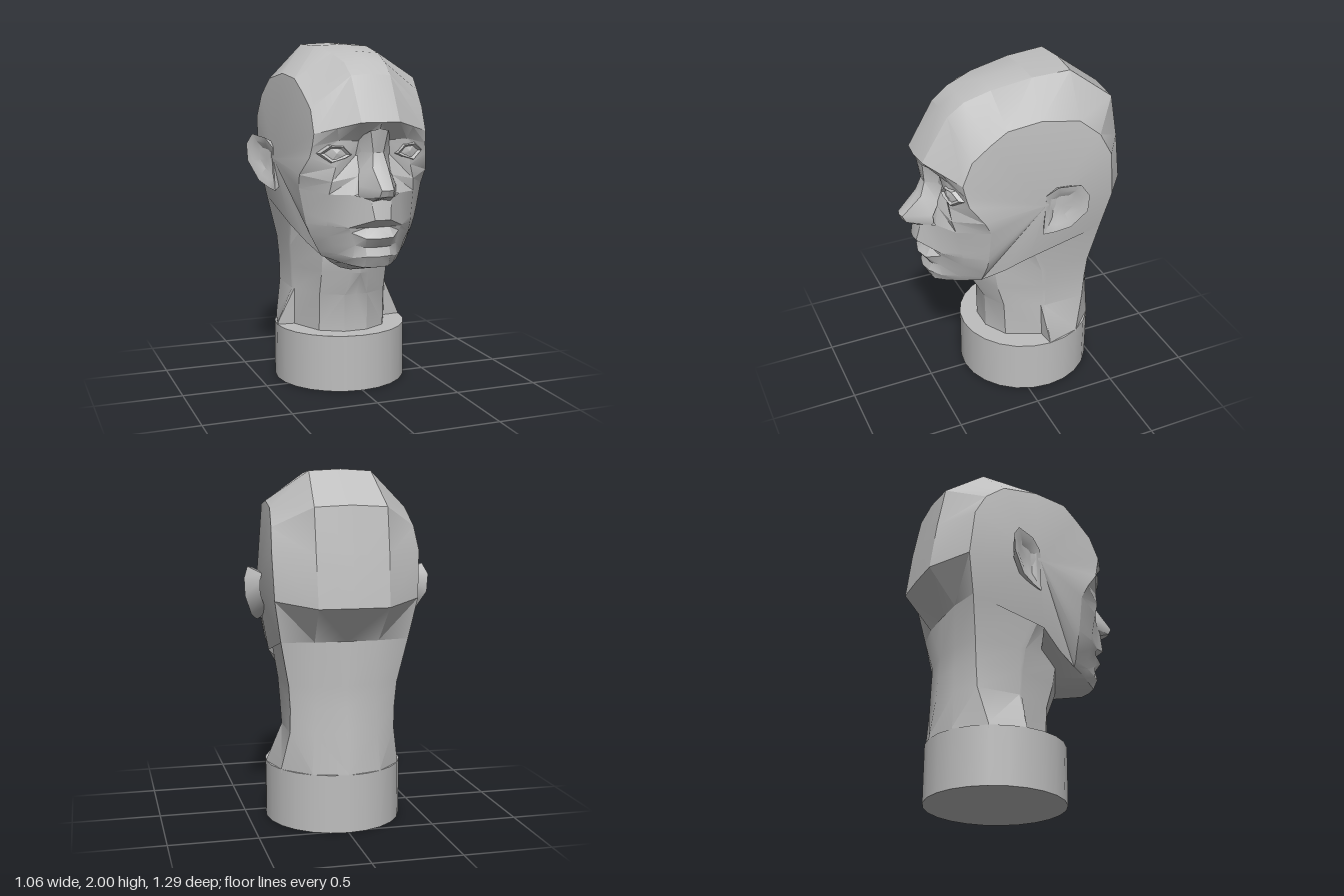
import * as THREE from 'three';
import { toCreasedNormals } from 'three/addons/utils/BufferGeometryUtils.js';

const clay = new THREE.MeshStandardMaterial({ color: 0xbebebe, side: THREE.DoubleSide });
clay.name = 'clay grey';

// Skin rows of [x, y, z] points on the +x half and mirror them to -x.
function mirroredLoft(name, rows, crease = 0.5) {
  const pos = [];
  const same = (p, q) => p.every((v, k) => Math.abs(v - q[k]) < 1e-5);
  const tri = (a, b, c) => {
    if (same(a, b) || same(b, c) || same(a, c)) return;
    pos.push(...a, ...b, ...c);
    for (const p of [a, c, b]) pos.push(-p[0], p[1], p[2]);
  };
  for (let i = 0; i < rows.length - 1; i++) {
    for (let j = 0; j < rows[i].length - 1; j++) {
      const a = rows[i][j], b = rows[i + 1][j], c = rows[i + 1][j + 1], d = rows[i][j + 1];
      tri(a, b, c);
      tri(a, c, d);
    }
  }
  const geo = new THREE.BufferGeometry();
  geo.setAttribute('position', new THREE.Float32BufferAttribute(pos, 3));
  const mesh = new THREE.Mesh(toCreasedNormals(geo, crease), clay);
  mesh.name = name;
  return mesh;
}

export function createModel() {
  const head = new THREE.Group();
  head.name = 'planarHead';

  // Cranium stations from brow over the crown to the nape:
  // midline y, z | centre strip edge x, y, z | temple edge x, y, z
  const stations = [
    [1.575, .54, .11, 1.575, .53, .33, 1.51, .385],
    [1.83, .385, .115, 1.82, .38, .33, 1.64, .33],
    [1.9, .29, .12, 1.89, .285, .345, 1.73, .23],
    [1.95, .14, .14, 1.94, .14, .36, 1.8, .14],
    [1.99, -.09, .16, 1.98, -.09, .37, 1.825, -.05],
    [2, -.32, .175, 1.99, -.31, .385, 1.79, -.27],
    [1.81, -.57, .2, 1.8, -.56, .4, 1.69, -.39],
    [1.55, -.61, .2, 1.55, -.605, .41, 1.56, -.46],
    [1.27, -.645, .195, 1.27, -.64, .4, 1.3, -.485],
    [1.07, -.48, .18, 1.07, -.475, .36, 1.07, -.44],
  ].reverse();
  const cranium = stations.map((s) => [[0, s[0], s[1]], s.slice(2, 5), s.slice(5, 8)]);
  head.add(mirroredLoft('cranium', cranium));

  // Brow, eye sockets and cheekbones, midline to outer edge
  const upperFace = [
    [[0, 1.575, .54], [.11, 1.575, .53], [.22, 1.5425, .4575], [.33, 1.51, .385]],
    [[0, 1.5, .5], [.09, 1.47, .43], [.2, 1.475, .42], [.335, 1.44, .37]],
    [[0, 1.38, .45], [.1, 1.39, .41], [.22, 1.33, .425], [.345, 1.38, .355]],
    [[0, 1.27, .46], [.1, 1.28, .45], [.24, 1.25, .42], [.38, 1.28, .28]],
    [[0, 1.18, .475], [.13, 1.18, .475], [.25, 1.18, .4], [.37, 1.2, .24]],
  ];
  head.add(mirroredLoft('upperFace', upperFace));

  // Upper lip, mouth, lower lip, chin and underside of the jaw
  const lowerFace = [
    [[0, 1.165, .55], [.06, 1.16, .54], [.13, 1.18, .475], [.25, 1.18, .4], [.37, 1.2, .24]],
    [[0, 1.05, .57], [.045, 1.05, .565], [.155, 1, .46], [.25, 1.03, .37], [.345, 1.07, .24]],
    [[0, 1, .495], [.07, 1, .49], [.155, .995, .455], [.25, 1, .365], [.33, 1, .24]],
    [[0, .945, .545], [.08, .945, .525], [.14, .97, .455], [.24, .94, .36], [.31, .94, .24]],
    [[0, .89, .5], [.07, .89, .49], [.12, .9, .46], [.21, .89, .365], [.28, .88, .245]],
    [[0, .84, .52], [.07, .84, .505], [.13, .83, .45], [.19, .84, .37], [.26, .84, .25]],
    [[0, .775, .485], [.07, .775, .475], [.12, .78, .42], [.17, .79, .36], [.24, .81, .25]],
    [[0, .72, .25], [.07, .72, .25], [.12, .73, .22], [.17, .76, .2], [.29, .87, .13]],
    [[0, .72, .2], [.07, .72, .2], [.12, .75, .1], [.2, .82, .05], [.35, .96, 0]],
  ];
  head.add(mirroredLoft('lowerFace', lowerFace));

  // Flat side planes fan out from beside the ear to the face and temple edges
  const rim = [
    ...upperFace.map((r) => r[3]),
    ...lowerFace.slice(1).map((r) => r[4]),
    ...cranium.map((r) => r[2]),
  ];
  head.add(mirroredLoft('sidePlanes', [rim.map(() => [.43, 1.34, -.06]), rim]));

  // Nose: ridge centre, ridge edge, side
  head.add(mirroredLoft('nose', [
    [[0, 1.54, .525], [.05, 1.53, .51], [.09, 1.49, .44]],
    [[0, 1.41, .495], [.03, 1.41, .495], [.09, 1.41, .41]],
    [[0, 1.34, .53], [.045, 1.33, .525], [.095, 1.3, .44]],
    [[0, 1.22, .645], [.035, 1.22, .635], [.11, 1.23, .48]],
    [[0, 1.185, .63], [.04, 1.18, .615], [.11, 1.18, .48]],
    [[0, 1.16, .55], [.05, 1.15, .54], [.1, 1.165, .49]],
  ]));

  // Eyes: raised lids around a slightly recessed eyeball
  const almond = [[-.09, -.01], [-.04, .04], [.04, .045], [.1, 0], [.03, -.055], [-.05, -.03], [-.09, -.01]];
  const eyeRing = ([scale, lift]) => almond.map(([u, v]) => {
    const x = .215 + u * scale;
    return [x, 1.405 + v * scale, .423 + lift - .48 * Math.max(0, x - .21)];
  });
  head.add(mirroredLoft('eyes', [[1, -.004], [.85, .018], [.62, .004], [0, .01]].map(eyeRing), 0.3));

  // Ears: back, rim, inner fold and hollow
  const earRim = [
    [.43, 1.4, -.06], [.46, 1.455, -.12], [.505, 1.47, -.23], [.53, 1.41, -.27],
    [.525, 1.31, -.265], [.48, 1.2, -.19], [.445, 1.165, -.11], [.42, 1.15, -.05], [.43, 1.4, -.06],
  ];
  const earRing = (scale, x, dx) => earRim.map((p) => [
    x + (p[0] - x) * scale + dx, 1.325 + (p[1] - 1.325) * scale, -.15 + (p[2] + .15) * scale,
  ]);
  head.add(mirroredLoft('ears', [
    earRing(.7, .42, -.06), earRim, earRing(.72, .47, -.01), earRing(.45, .45, -.02), earRing(0, .44, 0),
  ]));

  // Neck: front, throat edge, side, shoulder ridge and nape, top to bottom
  const neckRows = [
    [1.07, [0, .2, .07, .2, .22, .12, .34, 0, .35, -.05, .36, -.44, .18, -.475, 0, -.48]],
    [.82, [0, .24, .07, .235, .2, .15, .315, -.1, .32, -.13, .31, -.4, .17, -.46, 0, -.48]],
    [.69, [0, .235, .05, .22, .2, .13, .305, -.11, .31, -.13, .3, -.39, .17, -.465, 0, -.487]],
    [.55, [0, .16, .07, .16, .2, .09, .29, -.11, .3, -.13, .3, -.38, .18, -.465, 0, -.5]],
    [.34, [0, .155, .07, .155, .2, .08, .29, -.12, .39, -.13, .34, -.33, .195, -.476, 0, -.53]],
    [.31, [0, .155, .07, .155, .2, .08, .29, -.12, .39, -.13, .34, -.33, .195, -.476, 0, -.53]],
  ];
  head.add(mirroredLoft('neck', neckRows.map(([y, xz]) =>
    Array.from({ length: 8 }, (_, k) => [xz[2 * k], y, xz[2 * k + 1]]))));

  // Round base
  const base = new THREE.Mesh(new THREE.CylinderGeometry(.4, .4, .33, 24), clay);
  base.name = 'base';
  base.position.set(0, .165, -.13);
  base.scale.x = .98;
  head.add(base);

  return head;
}
